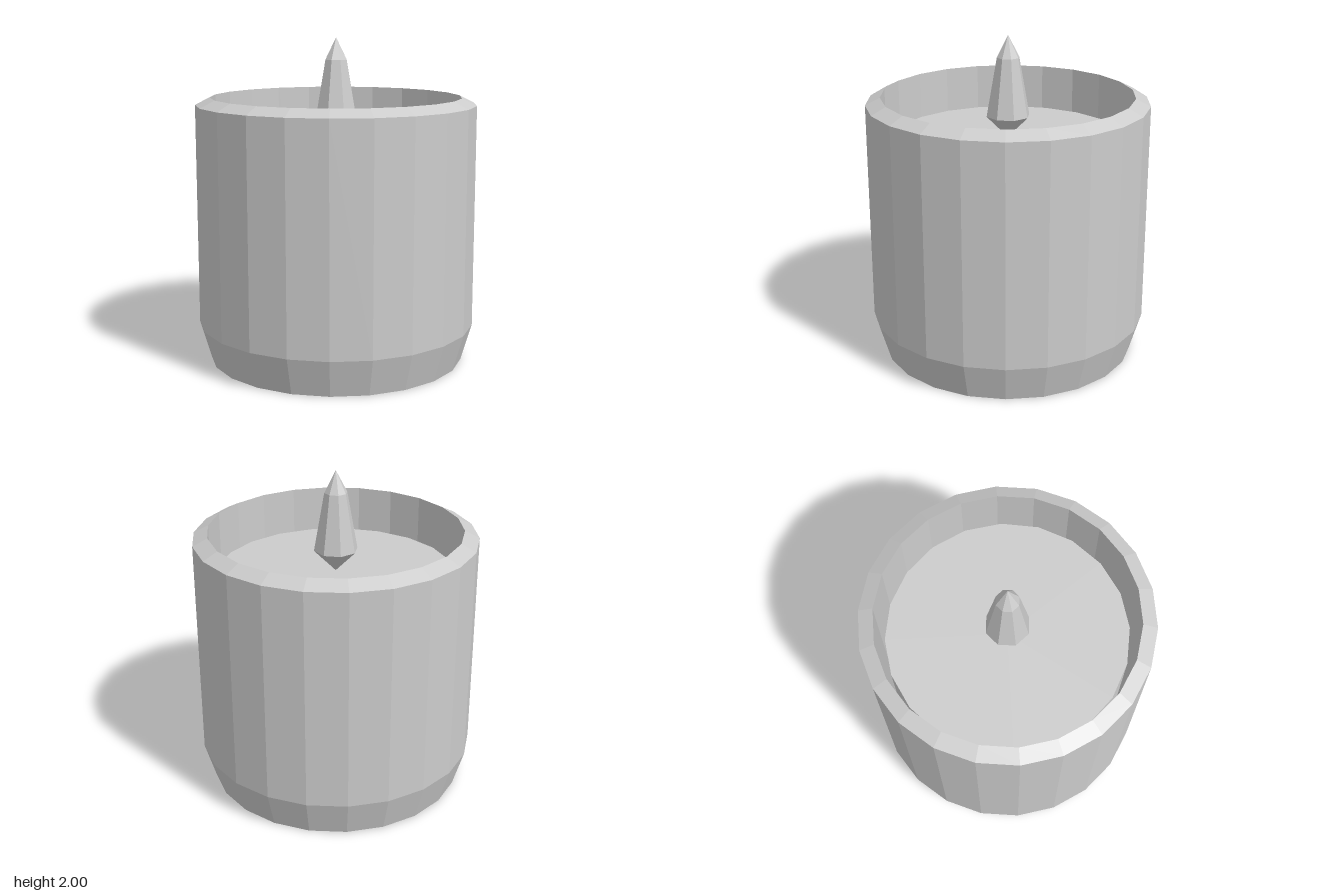
import * as THREE from 'three';

export function createModel() {
  const group = new THREE.Group();
  group.name = 'candle';
  const grey = new THREE.MeshStandardMaterial({ color: 0xcccccc, flatShading: true });
  grey.name = 'light grey';

  // Faceted solid of revolution; profile runs from the bottom centre outwards
  const addLathe = (name, profile, sides) => {
    const points = profile.map(([r, y]) => new THREE.Vector2(r, y));
    const mesh = new THREE.Mesh(new THREE.LatheGeometry(points, sides, Math.PI / 2), grey);
    mesh.name = name;
    group.add(mesh);
  };

  // Cup: tapered foot, straight wall, bevelled rim, hollow inside
  addLathe('cup', [
    [0, 0], [0.795, 0], [0.862, 0.23], [0.862, 1.595],
    [0.772, 1.64], [0.772, 0.1], [0, 0.1],
  ], 22);

  // Wax filling, a little narrower than the cup
  addLathe('wax', [[0, 0.1], [0.728, 0.1], [0.728, 1.367], [0, 1.367]], 20);

  // Flame: pointed at both ends, widest low down
  addLathe('flame', [[0, 1.367], [0.135, 1.505], [0.07, 1.865], [0, 2]], 8);

  return group;
}
